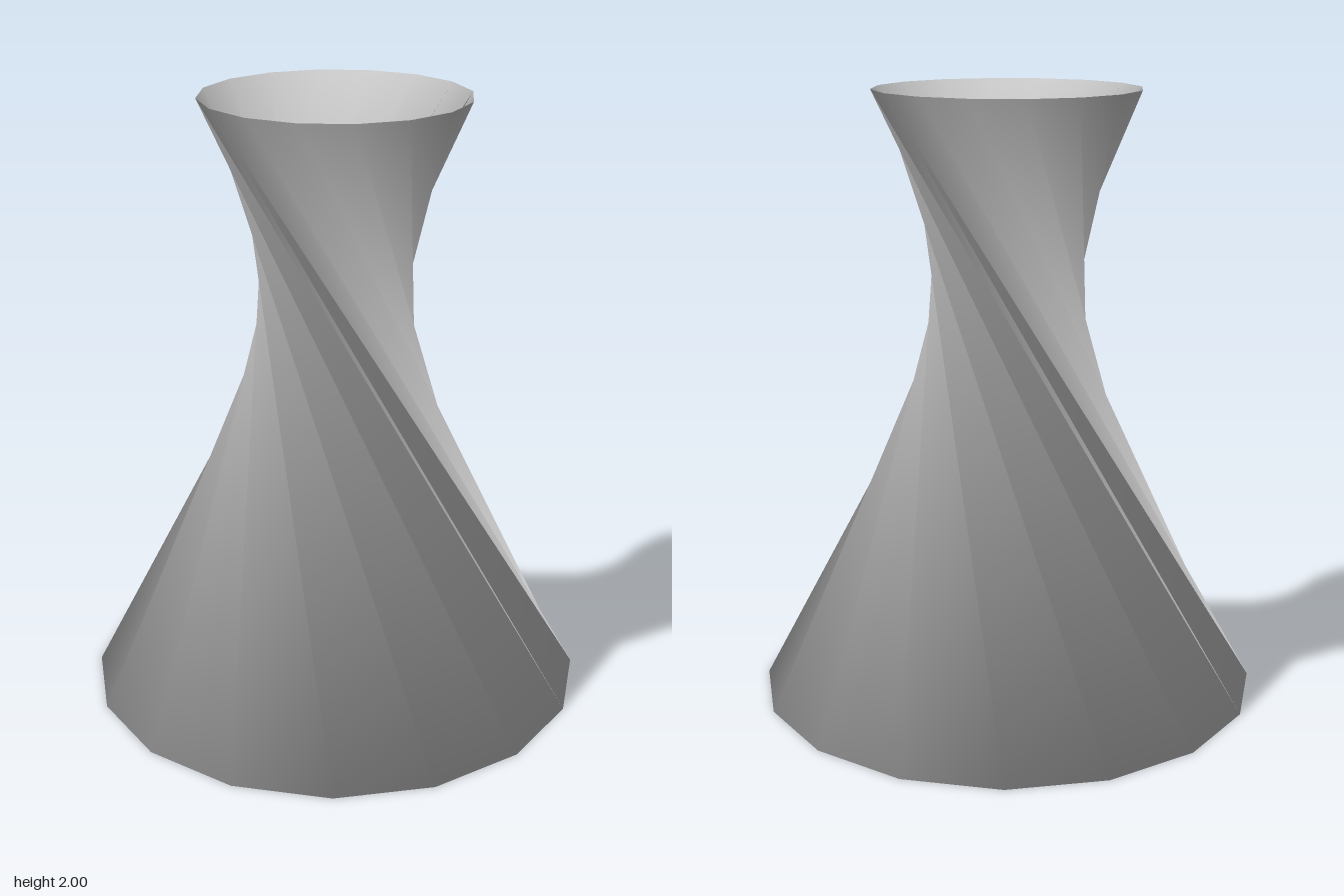
import * as THREE from 'three';

const SIDES = 16, BASE_RADIUS = 0.829, TOP_RADIUS = 0.433, HEIGHT = 2;
const TWIST = THREE.MathUtils.degToRad(-149.5);

// Points of one level ring, turned by an angle
function ring(radius, y, turn) {
  return Array.from({ length: SIDES }, (_, i) =>
    new THREE.Vector3().setFromCylindricalCoords(radius, turn + i * 2 * Math.PI / SIDES, y));
}

// Smooth normals: each whole face counts by its angle at the corner
function smoothNormals(points, faces) {
  const normals = points.map(() => new THREE.Vector3());
  const side = (a, b) => points[b].clone().sub(points[a]);
  for (const face of faces) {
    const n = face.length;
    const faceNormal = new THREE.Vector3();
    face.forEach((a, k) => faceNormal.add(points[a].clone().cross(points[face[(k + 1) % n]])));
    faceNormal.normalize();
    face.forEach((a, k) => {
      const angle = side(a, face[(k + 1) % n]).angleTo(side(a, face[(k + n - 1) % n]));
      normals[a].addScaledVector(faceNormal, angle);
    });
  }
  return normals.map((v) => v.normalize());
}

export function createModel() {
  const group = new THREE.Group();
  group.name = 'twistedVase';

  // Base ring, turned top ring and the middle of the floor
  const points = [
    ...ring(BASE_RADIUS, 0, 0),
    ...ring(TOP_RADIUS, HEIGHT, TWIST),
    new THREE.Vector3(),
  ];

  // One row of twisted wall panels and a floor fan; the top stays open
  const faces = [];
  for (let i = 0; i < SIDES; i++) {
    const j = (i + 1) % SIDES;
    faces.push([i, j, SIDES + j, SIDES + i], [2 * SIDES, j, i]);
  }

  // Wall panels fold along their shorter diagonal
  const index = faces.flatMap(([a, b, c, d]) => (d === undefined ? [a, b, c] : [a, b, c, a, c, d]));
  const flat = (list) => new THREE.Float32BufferAttribute(list.flatMap((v) => v.toArray()), 3);
  const geometry = new THREE.BufferGeometry();
  geometry.setIndex(index);
  geometry.setAttribute('position', flat(points));
  geometry.setAttribute('normal', flat(smoothNormals(points, faces)));

  const mesh = new THREE.Mesh(geometry, new THREE.MeshStandardMaterial({ color: 0xcccccc, side: THREE.DoubleSide }));
  mesh.name = 'vaseBody';
  group.add(mesh);
  return group;
}
